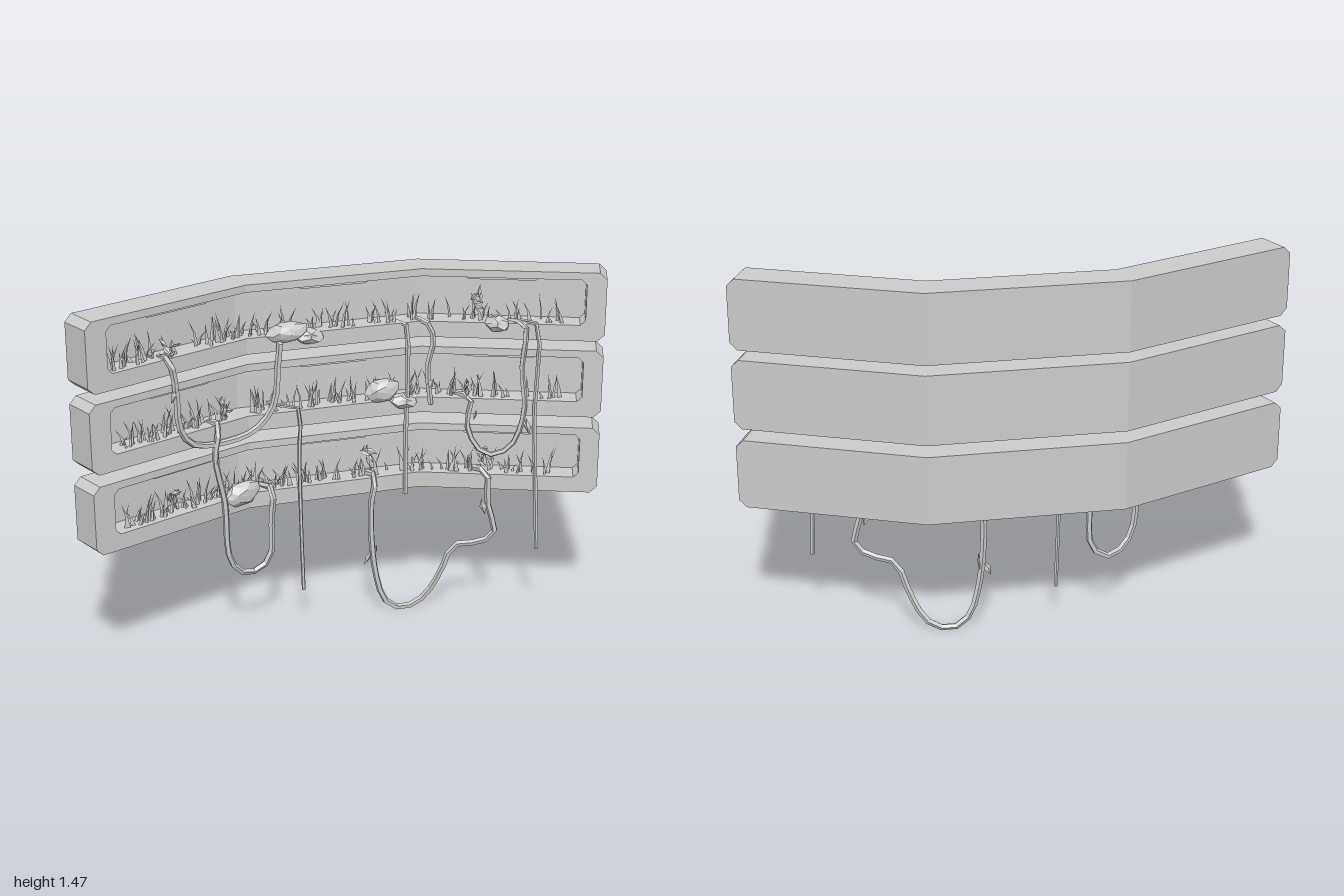
import * as THREE from 'three';
import { mergeGeometries } from 'three/addons/utils/BufferGeometryUtils.js';

const mat = new THREE.MeshStandardMaterial({ color: 0xcccccc, flatShading: true, side: THREE.DoubleSide });
const DEPTH = 0.135, WALL = 0.035, HEIGHT = 0.28;
const SHELVES = [0.553, 0.88, 1.2];
// plan of the bent wall as [x, z] corners
const BACK = [[-1, -0.46], [-0.25, -0.46], [0.46, -0.17], [0.99, 0.36]];
const FRONT = [[-1, -0.325], [-0.277, -0.325], [0.383, -0.056], [0.895, 0.455]];

let seed = 7;
const rnd = (a = 0, b = 1) => {
  seed = (seed * 16807) % 2147483647;
  return a + (b - a) * seed / 2147483647;
};
const mix = THREE.MathUtils.lerp;

// plan corner i at depth d (0 = back face, DEPTH = front face)
const corner = (i, d) => [0, 1].map(k => mix(BACK[i][k], FRONT[i][k], d / DEPTH));

// point at station u (0..3 along the wall), depth d, height y
function station(u, d, y) {
  const i = Math.min(2, Math.floor(u)), a = corner(i, d), b = corner(i + 1, d);
  return new THREE.Vector3(mix(a[0], b[0], u - i), y, mix(a[1], b[1], u - i));
}

// point of the wall at a given x
function atX(x, y, d = DEPTH + 0.012) {
  let i = 0;
  while (i < 2 && x > corner(i + 1, d)[0]) i++;
  const a = corner(i, d), b = corner(i + 1, d);
  return new THREE.Vector3(x, y, mix(a[1], b[1], (x - a[0]) / (b[0] - a[0])));
}

function add(parent, name, geometry) {
  const mesh = new THREE.Mesh(geometry, mat);
  mesh.name = name;
  parent.add(mesh);
  return mesh;
}

// planter: C-shaped cross-section lofted along the wall, solid chamfered ends
function planterGeometry(y0) {
  const y1 = y0 + HEIGHT, yb = y0 + 0.065, yt = y1 - 0.03;
  const ring = (u, inner, cut, end) => [
    [0, y0 + end], [0, y1 - end], [DEPTH, y1 - end], [DEPTH, yt - cut],
    [inner, yt - cut], [inner, yb + cut], [DEPTH, yb + cut], [DEPTH, y0 + end],
  ].map(([d, y]) => station(u, d, y));
  const c = 0.02, e = 0.028;
  const rings = [
    ring(0, DEPTH, c, e), ring(0.04, DEPTH, c, 0), ring(0.125, DEPTH, c, 0),
    ring(0.125, WALL, c, 0), ring(0.153, WALL, 0, 0),
    ring(1, WALL, 0, 0), ring(2, WALL, 0, 0),
    ring(2.865, WALL, 0, 0), ring(2.893, WALL, c, 0),
    ring(2.893, DEPTH, c, 0), ring(2.96, DEPTH, c, 0), ring(3, DEPTH, c, e),
  ];
  const points = rings.flat(), corners = [], n = 8, last = (rings.length - 1) * n;
  // faces that collapse to a line are left out
  const face = (...ids) => {
    const t = ids.map(i => points[i]);
    if (new THREE.Triangle(...t).getArea() > 1e-7) corners.push(...t);
  };
  for (let j = 0; j < rings.length - 1; j++) for (let k = 0; k < n; k++) {
    const a = j * n + k, b = j * n + (k + 1) % n;
    face(a, b, b + n);
    face(a, b + n, a + n);
  }
  face(0, 7, 2);
  face(0, 2, 1);
  face(last, last + 1, last + 2);
  face(last, last + 2, last + 7);
  const g = new THREE.BufferGeometry().setFromPoints(corners);
  g.computeVertexNormals();
  return g;
}

// one curved, tapering grass blade
function blade(base, h, w, lean, turn) {
  const g = new THREE.ConeGeometry(w, h, 3, 2, true);
  g.translate(0, h / 2, 0).scale(1, 1, 0.5);
  const p = g.attributes.position;
  for (let i = 0; i < p.count; i++) p.setX(i, p.getX(i) + lean * (p.getY(i) / h) ** 2);
  return g.rotateY(turn).translate(base.x, base.y, base.z);
}

function grassGeometry(y) {
  const blades = [];
  for (let x = -0.87; x < 0.81; x += 0.052) {
    if (rnd() < 0.12) continue;
    const count = Math.floor(rnd(3, 6));
    for (let k = 0; k < count; k++) {
      const px = THREE.MathUtils.clamp(x + rnd(-0.028, 0.028), -0.88, 0.81);
      const base = atX(px, y - 0.004, rnd(0.065, 0.115));
      const turn = rnd() < 0.5 ? rnd(-0.6, 0.2) : Math.PI + rnd(-0.6, 0.2);
      blades.push(blade(base, rnd(0.035, 0.12), rnd(0.007, 0.013), rnd(0, 0.04), turn));
    }
  }
  return mergeGeometries(blades);
}

// faceted stone: sphere with its vertices pushed in and out by a rule
function rockGeometry(sx, sy, sz, phase) {
  const g = new THREE.IcosahedronGeometry(1, 1), p = g.attributes.position;
  const v = new THREE.Vector3();
  for (let i = 0; i < p.count; i++) {
    v.fromBufferAttribute(p, i);
    v.multiplyScalar(0.9 + 0.15 * Math.sin(v.x * 5 + phase) * Math.cos(v.y * 4 + v.z * 3 + phase));
    p.setXYZ(i, v.x * sx, v.y * sy, v.z * sz);
  }
  g.computeVertexNormals();
  return g;
}

// small folded leaf
const leafGeometry = size => new THREE.OctahedronGeometry(size).scale(0.45, 1, 0.2);

// radius, whether the far end returns into a planter, [x, y] path
const VINES = [
  [0.013, true, [[-0.65, 1.265], [-0.63, 1.2], [-0.62, 1.1], [-0.61, 0.98], [-0.55, 0.9], [-0.4, 0.87], [-0.26, 0.89], [-0.19, 0.98], [-0.17, 1.15], [-0.165, 1.265]]],
  [0.013, true, [[-0.43, 0.95], [-0.45, 0.82], [-0.41, 0.62], [-0.395, 0.38], [-0.345, 0.3], [-0.27, 0.28], [-0.215, 0.33], [-0.205, 0.5], [-0.2, 0.63]]],
  [0.008, false, [[-0.17, 0.98], [-0.1, 0.965], [-0.095, 0.75], [-0.09, 0.45], [-0.083, 0.165]]],
  [0.013, true, [[0.2, 0.63], [0.185, 0.5], [0.2, 0.22], [0.245, 0.06], [0.31, 0.018], [0.39, 0.055], [0.44, 0.17], [0.48, 0.3], [0.55, 0.32], [0.595, 0.36], [0.575, 0.5], [0.57, 0.63]]],
  [0.01, false, [[0.315, 1.265], [0.325, 1.1], [0.32, 0.8], [0.32, 0.535]]],
  [0.011, false, [[0.39, 1.265], [0.41, 1.2], [0.395, 1.08], [0.405, 0.92]]],
  [0.011, true, [[0.52, 0.95], [0.51, 0.84], [0.54, 0.74], [0.58, 0.71], [0.635, 0.75], [0.67, 0.9], [0.66, 1.08], [0.665, 1.265]]],
  [0.009, false, [[0.7, 1.265], [0.705, 1.1], [0.7, 0.9], [0.71, 0.6], [0.72, 0.3]]],
];
const LEAVES = [[0.17, 0.27], [0.2, 0.3], [0.56, 0.48], [-0.63, 1.12], [0.53, 0.88], [0.68, 0.84], [0.4, 1.0], [-0.44, 0.8]];
// x, y, half sizes
const ROCKS = [
  [-0.12, 1.275, 0.09, 0.045, 0.055], [-0.045, 1.25, 0.07, 0.035, 0.05],
  [0.24, 0.99, 0.075, 0.055, 0.05], [0.32, 0.935, 0.065, 0.035, 0.045],
  [-0.31, 0.625, 0.085, 0.055, 0.045], [0.6, 1.26, 0.055, 0.035, 0.04],
];
// leafy sprouts standing among the grass: x, y
const SPROUTS = [[-0.62, 1.3], [0.55, 1.35], [-0.38, 1.0], [0.53, 0.99], [0.2, 0.7], [-0.62, 0.68], [0.58, 0.69]];

export function createModel() {
  const model = new THREE.Group();
  model.name = 'plantedWall';

  SHELVES.forEach(y0 => {
    const shelf = new THREE.Group();
    shelf.name = 'shelf';
    add(shelf, 'planter', planterGeometry(y0));
    add(shelf, 'grass', grassGeometry(y0 + 0.065));
    // tapered strip under the ceiling of each bay
    [0.57, 1.5, 2.44].forEach((u, i) => {
      const g = new THREE.BoxGeometry(0.3, 0.014, 0.05), p = g.attributes.position;
      for (let k = 0; k < p.count; k++) if (p.getY(k) < 0) p.setX(k, p.getX(k) * 0.88);
      const strip = add(shelf, 'ceilingStrip', g);
      strip.position.copy(station(u, 0.09, y0 + HEIGHT - 0.036));
      strip.rotation.y = -i * Math.PI / 8;
    });
    model.add(shelf);
  });

  // hanging vines, rooted inside the planters
  VINES.forEach(([radius, returns, pts]) => {
    const path = pts.map(([x, y]) => atX(x, y));
    const root = ([x, y]) => atX(x, y - 0.005, 0.08);
    path.unshift(root(pts[0]));
    if (returns) path.push(root(pts[pts.length - 1]));
    const curve = new THREE.CatmullRomCurve3(path, false, 'centripetal');
    add(model, 'vine', new THREE.TubeGeometry(curve, path.length * 2, radius, 5));
  });

  LEAVES.forEach(([x, y], i) => {
    const leaf = add(model, 'vineLeaf', leafGeometry(0.035));
    leaf.position.copy(atX(x, y, DEPTH + 0.015));
    leaf.rotation.set(0.2, i, i % 2 ? 0.4 : -0.4);
  });

  // rocks turned to follow the bay they rest in
  ROCKS.forEach(([x, y, sx, sy, sz], i) => {
    const bay = FRONT.filter(([fx]) => fx < x).length - 1;
    const rock = add(model, 'rock', rockGeometry(sx, sy, sz, i * 1.7));
    rock.position.copy(atX(x, y, DEPTH - 0.005));
    rock.rotation.set(0, -bay * Math.PI / 8, i % 2 ? -0.12 : 0.12);
  });

  SPROUTS.forEach(([x, y]) => {
    const sprout = new THREE.Group();
    sprout.name = 'sprout';
    for (let k = 0; k < 6; k++) {
      const leaf = add(sprout, 'sproutLeaf', leafGeometry(0.028));
      leaf.position.set(rnd(-0.025, 0.025), rnd(-0.03, 0.04), rnd(-0.015, 0.02));
      leaf.rotation.set(rnd(-1, 1), rnd(0, 3), rnd(-1, 1));
    }
    sprout.position.copy(atX(x, y, 0.11));
    model.add(sprout);
  });

  return model;
}
